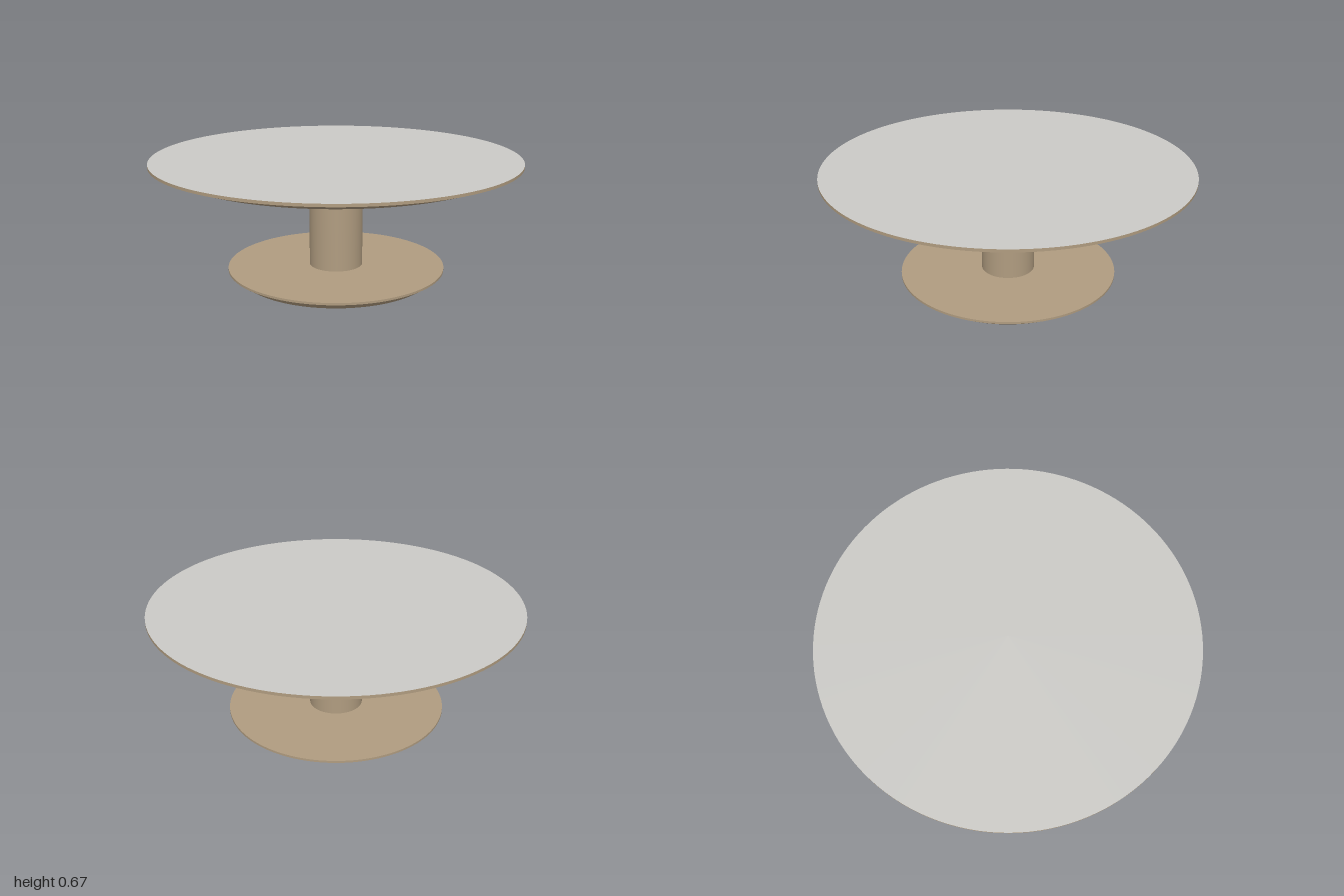
import * as THREE from 'three';

const SEGMENTS = 128;

export function createModel() {
  const table = new THREE.Group();
  table.name = 'roundPedestalTable';

  const wood = new THREE.MeshStandardMaterial({ color: 0xb09c80 });
  wood.name = 'taupe wood';
  const stone = new THREE.MeshStandardMaterial({ color: 0xcbcac6 });
  stone.name = 'pale grey surface';

  // Cylinder or cone section between two heights; materials are [side, top, bottom]
  function section(name, y0, y1, rBottom, rTop, material, parent = table) {
    const geometry = new THREE.CylinderGeometry(rTop, rBottom, y1 - y0, SEGMENTS);
    const mesh = new THREE.Mesh(geometry, material);
    mesh.name = name;
    mesh.position.y = (y0 + y1) / 2;
    parent.add(mesh);
  }

  // Disc with a thin straight rim above an undercut bevel
  function bevelledDisc(name, y0, yRim, y1, rBottom, rRim, topMaterial) {
    const disc = new THREE.Group();
    disc.name = name;
    section(name + 'Bevel', y0, yRim, rBottom, rRim, wood, disc);
    section(name + 'Rim', yRim, y1, rRim, rRim, [wood, topMaterial, wood], disc);
    table.add(disc);
  }

  bevelledDisc('base', 0, 0.043, 0.055, 0.535, 0.6, wood);
  section('column', 0.055, 0.58, 0.147, 0.147, wood);
  section('mountingPlate', 0.58, 0.613, 0.4, 0.4, wood);
  bevelledDisc('tabletop', 0.613, 0.652, 0.667, 0.89, 1, stone);

  return table;
}
